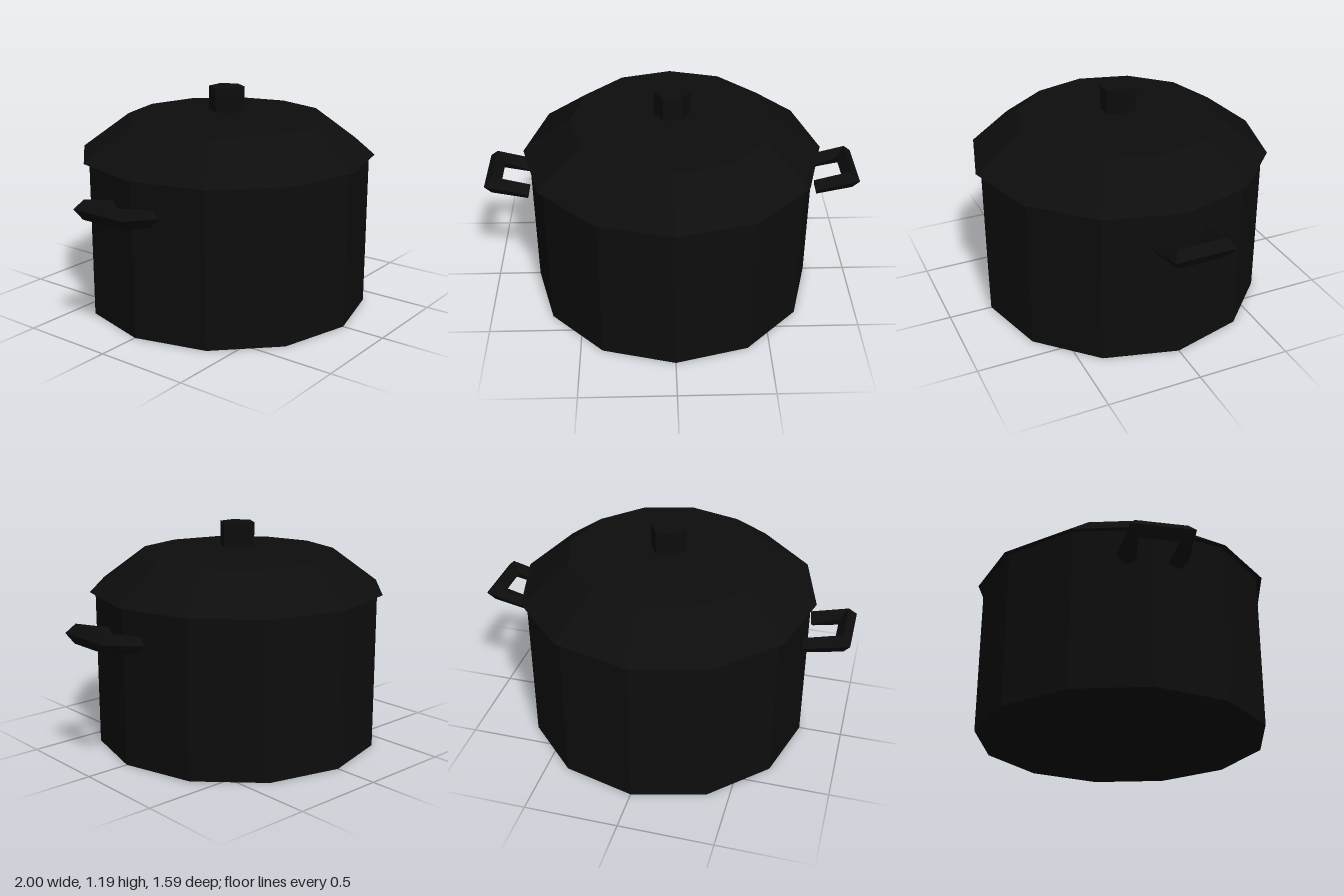
import * as THREE from 'three';

const castIron = new THREE.MeshStandardMaterial({ color: 0x0d0d0d, flatShading: true });
castIron.name = 'cast iron black';

function part(name, geometry, parent) {
  const mesh = new THREE.Mesh(geometry, castIron);
  mesh.name = name;
  parent.add(mesh);
  return mesh;
}

// Bracket handle: a diamond section swept from wall to grip and back to the wall
function handleGeometry() {
  // corners in order: top, outer, bottom, inner
  const wallEnd = [[0.757, 0.705, 0.13], [0.765, 0.668, 0.178], [0.777, 0.618, 0.13], [0.768, 0.655, 0.082]];
  const corner = [[0.957, 0.758, 0.13], [1, 0.712, 0.16], [0.968, 0.658, 0.13], [0.915, 0.7, 0.1]];
  const mirror = (section) => section.map(([x, y, z]) => [x, y, -z]);
  const sections = [wallEnd, corner, mirror(corner), mirror(wallEnd)];

  const index = [0, 2, 1, 0, 3, 2, 12, 13, 14, 12, 14, 15]; // end caps
  for (let i = 0; i < 3; i++) {
    for (let j = 0; j < 4; j++) {
      const a = i * 4 + j;
      const b = i * 4 + ((j + 1) % 4);
      index.push(a, b, a + 4, b, b + 4, a + 4);
    }
  }
  const geometry = new THREE.BufferGeometry();
  geometry.setAttribute('position', new THREE.Float32BufferAttribute(sections.flat(2), 3));
  geometry.setIndex(index);
  geometry.computeVertexNormals();
  return geometry;
}

export function createModel() {
  const pot = new THREE.Group();
  pot.name = 'cookingPot';

  // Twelve-sided body
  part('body', new THREE.CylinderGeometry(0.767, 0.767, 0.836, 12), pot).position.y = 0.418;

  // Overhanging lid with a sloped rim and shallow crown
  const profile = [[0, 0.835], [0.797, 0.835], [0.54, 1.025], [0, 1.06]];
  part('lid', new THREE.LatheGeometry(profile.map(([x, y]) => new THREE.Vector2(x, y)), 12), pot);

  // Six-sided knob, corners pointing left and right
  const knob = part('knob', new THREE.CylinderGeometry(0.096, 0.096, 0.13, 6), pot);
  knob.rotation.y = Math.PI / 2;
  knob.position.y = 1.122;

  // Pair of side handles
  const handle = handleGeometry();
  part('leftHandle', handle, pot);
  part('rightHandle', handle, pot).rotation.y = Math.PI;

  return pot;
}
